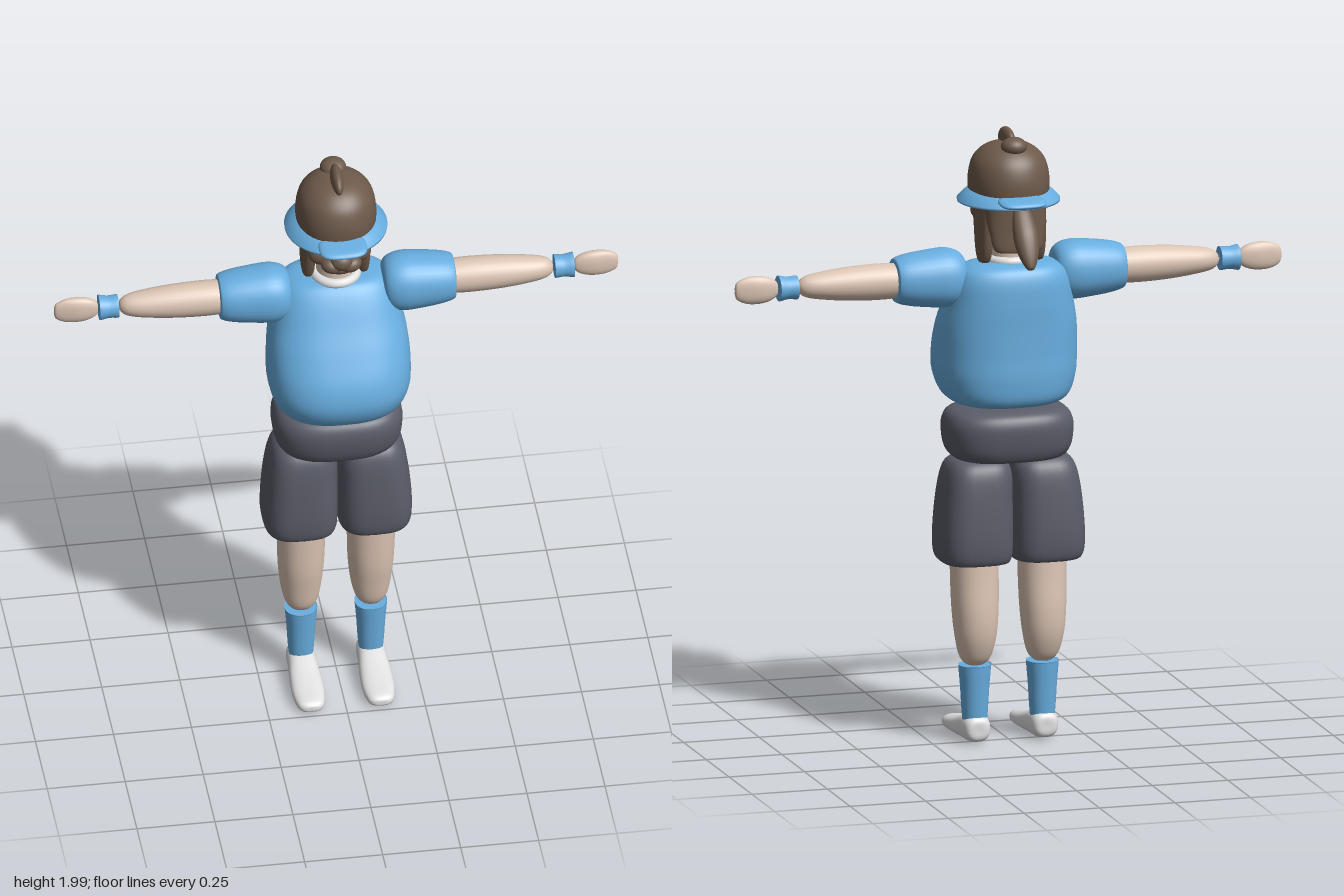
import * as THREE from 'three';

const mat = (name, color) => Object.assign(new THREE.MeshStandardMaterial({ color }), { name });

// Smooth closed loft along +y. Each section: [y, halfWidthX, halfDepthZ, centreX, centreZ]
// n is the superellipse exponent (2 = oval, higher = boxier).
function loft(sections, n = 2, seg = 32, steps = 5) {
  const curve = (k) => new THREE.SplineCurve(sections.map((s) => new THREE.Vector2(s[0], s[k] ?? 0)));
  const [cw, cd, cx, cz] = [1, 2, 3, 4].map(curve);
  const rows = (sections.length - 1) * steps;
  const pos = [], idx = [];
  const pw = (v) => Math.sign(v) * Math.abs(v) ** (2 / n);
  for (let i = 0; i <= rows; i++) {
    const u = i / rows, w = cw.getPoint(u), d = cd.getPoint(u).y;
    const x = cx.getPoint(u).y, z = cz.getPoint(u).y;
    for (let j = 0; j < seg; j++) {
      const a = (j / seg) * Math.PI * 2;
      pos.push(x + Math.max(w.y, 0) * pw(Math.cos(a)), w.x, z + Math.max(d, 0) * pw(Math.sin(a)));
    }
  }
  for (let i = 0; i < rows; i++) {
    for (let j = 0; j < seg; j++) {
      const k = (j + 1) % seg, a = i * seg + j, b = i * seg + k;
      idx.push(a, a + seg, b, b, a + seg, b + seg);
    }
  }
  const g = new THREE.BufferGeometry();
  g.setAttribute('position', new THREE.Float32BufferAttribute(pos, 3));
  g.setIndex(idx);
  g.computeVertexNormals();
  return g;
}

export function createModel() {
  const root = new THREE.Group();
  root.name = 'figure';
  const blue = mat('blue cloth', 0x68aee0);
  const skin = mat('skin', 0xdcc5b4);
  const brown = mat('brown hair', 0x6e5a4b);
  const grey = mat('grey shorts', 0x5b5d69);
  const white = mat('white', 0xe2e2e2);
  const thin = mat('blue brim', 0x68aee0);
  thin.side = THREE.DoubleSide;

  const add = (name, geo, material, parent = root) => {
    const m = new THREE.Mesh(geo, material);
    m.name = name;
    parent.add(m);
    return m;
  };
  const ball = (name, material, [x, y, z], [sx, sy, sz], rx = 0, rz = 0) => {
    const m = add(name, new THREE.SphereGeometry(1, 24, 16), material);
    m.position.set(x, y, z);
    m.scale.set(sx, sy, sz);
    m.rotation.set(rx, 0, rz);
    return m;
  };

  // Shirt body with a full belly
  add('shirt', loft([
    [1.105, 0.002, 0.002, 0, 0.03], [1.107, 0.13, 0.12, 0, 0.03], [1.13, 0.195, 0.175, 0, 0.04],
    [1.20, 0.224, 0.2, 0, 0.053], [1.28, 0.228, 0.195, 0, 0.05], [1.37, 0.222, 0.172, 0, 0.028],
    [1.45, 0.205, 0.148, 0, 0.004], [1.52, 0.188, 0.125, 0, -0.014], [1.56, 0.16, 0.1, 0, -0.02],
    [1.575, 0.1, 0.065, 0, -0.015], [1.576, 0.002, 0.002, 0, -0.015],
  ], 2.5, 48), blue);
  const collar = add('collar', new THREE.TorusGeometry(0.066, 0.016, 12, 32), white);
  collar.rotation.x = Math.PI / 2;
  collar.position.set(0, 1.578, -0.005);

  // Waist of the shorts
  add('waist', loft([
    [0.928, 0.002, 0.002, 0, 0.015], [0.93, 0.15, 0.115, 0, 0.015], [0.955, 0.194, 0.145, 0, 0.015],
    [1.01, 0.207, 0.159, 0, 0.016], [1.06, 0.203, 0.158, 0, 0.016], [1.09, 0.175, 0.135, 0, 0.016],
    [1.1, 0.1, 0.08, 0, 0.016], [1.1, 0.002, 0.002, 0, 0.016],
  ], 2.7, 40), grey);

  for (const s of [1, -1]) {
    const side = s > 0 ? 'left' : 'right';
    const leg = new THREE.Group();
    leg.name = side + 'Leg';
    leg.position.x = s * 0.112;
    root.add(leg);
    add('shortsLeg', loft([
      [0.6, 0.002, 0.002], [0.6, 0.085, 0.09], [0.612, 0.114, 0.12, s * 0.006], [0.68, 0.12, 0.13, s * 0.007],
      [0.8, 0.115, 0.126, s * 0.003], [0.89, 0.106, 0.115, s * -0.004], [0.93, 0.085, 0.09, s * -0.006],
      [0.94, 0.04, 0.05], [0.94, 0.002, 0.002],
    ], 3, 32), grey, leg);
    add('calf', loft([
      [0.26, 0.002, 0.002, 0, -0.002], [0.265, 0.03, 0.03, 0, -0.002], [0.295, 0.052, 0.052, 0, -0.004],
      [0.36, 0.066, 0.07, 0, -0.008], [0.44, 0.073, 0.08, 0, -0.004], [0.54, 0.076, 0.08, 0, 0.003],
      [0.64, 0.076, 0.08, 0, 0.008],
    ], 2.2), skin, leg);
    add('sock', loft([
      [0.07, 0.038, 0.038], [0.12, 0.042, 0.042], [0.19, 0.046, 0.047], [0.255, 0.051, 0.052],
      [0.259, 0.047, 0.048], [0.259, 0.002, 0.002],
    ], 2.2), blue, leg);
    // Shoe, lofted from heel to toe
    const shoe = add('shoe', loft([
      [-0.05, 0.002, 0.002, 0, -0.055], [-0.048, 0.03, 0.03, 0, -0.055], [-0.025, 0.044, 0.043, 0, -0.056],
      [0.03, 0.046, 0.042, 0, -0.053], [0.1, 0.051, 0.032, 0, -0.043], [0.17, 0.051, 0.025, 0, -0.035],
      [0.22, 0.042, 0.021, 0, -0.031], [0.238, 0.025, 0.012, 0, -0.03], [0.241, 0.002, 0.002, 0, -0.03],
    ], 2.5), white, leg);
    shoe.rotation.x = Math.PI / 2;

    // Arm pieces, lofted outward from the shoulder
    const arm = new THREE.Group();
    arm.name = side + 'Arm';
    arm.position.set(0, 1.526, 0.005);
    arm.rotation.z = -s * Math.PI / 2;
    root.add(arm);
    add('sleeve', loft([
      [0.145, 0.002, 0.002], [0.148, 0.055, 0.055], [0.168, 0.083, 0.08], [0.21, 0.095, 0.091],
      [0.27, 0.091, 0.089], [0.33, 0.083, 0.083], [0.368, 0.073, 0.074], [0.378, 0.06, 0.06], [0.378, 0.002, 0.002],
    ], 2.2), blue, arm);
    add('forearm', loft([
      [0.35, 0.055, 0.055], [0.43, 0.058, 0.056], [0.53, 0.054, 0.053], [0.62, 0.044, 0.045],
      [0.67, 0.034, 0.033], [0.692, 0.018, 0.017], [0.695, 0.002, 0.002],
    ]), skin, arm);
    add('wristband', loft([
      [0.699, 0.002, 0.002], [0.699, 0.034, 0.034], [0.703, 0.038, 0.037], [0.73, 0.036, 0.036],
      [0.757, 0.041, 0.039], [0.761, 0.036, 0.036], [0.761, 0.002, 0.002],
    ]), blue, arm);
    add('hand', loft([
      [0.763, 0.002, 0.002], [0.766, 0.022, 0.012], [0.79, 0.038, 0.019], [0.825, 0.045, 0.022],
      [0.865, 0.043, 0.018], [0.895, 0.03, 0.012], [0.903, 0.015, 0.006], [0.904, 0.002, 0.002],
    ], 2.3), skin, arm);

    // Side locks and moustache halves
    const lock = add(side + 'Lock', loft([
      [1.575, 0.002, 0.002, 0, -0.02], [1.577, 0.016, 0.03, 0, -0.02], [1.62, 0.022, 0.05, 0, -0.02],
      [1.7, 0.023, 0.065, 0, -0.015], [1.79, 0.022, 0.08, 0, 0],
    ], 2.6, 24), brown);
    lock.position.x = s * 0.088;
    ball(side + 'Moustache', brown, [s * 0.03, 1.695, 0.115], [0.036, 0.026, 0.032], 0, s * 0.25);
    ball(side + 'Whisker', brown, [s * 0.06, 1.72, 0.085], [0.04, 0.035, 0.03]);
  }

  // Neck and head
  add('neck', new THREE.CylinderGeometry(0.062, 0.062, 0.17, 24), skin).position.set(0, 1.64, -0.01);
  ball('head', skin, [0, 1.74, 0], [0.095, 0.105, 0.1]);
  ball('beard', brown, [0, 1.675, 0.085], [0.055, 0.026, 0.045]);
  ball('nose', brown, [0, 1.712, 0.125], [0.036, 0.03, 0.028]);
  ball('fringe', brown, [0, 1.765, 0.035], [0.105, 0.032, 0.085]);

  // Hair at the back of the head
  add('backHair', loft([
    [1.62, 0.03, 0.015, 0, -0.105], [1.625, 0.075, 0.025, 0, -0.105], [1.68, 0.09, 0.035, 0, -0.095],
    [1.74, 0.1, 0.06, 0, -0.07], [1.79, 0.11, 0.085, 0, -0.045],
  ], 2.5), brown);
  const tail = add('ponytail', loft([
    [0, 0.002, 0.002], [0.006, 0.014, 0.012], [0.05, 0.032, 0.025], [0.11, 0.04, 0.032],
    [0.17, 0.034, 0.024], [0.215, 0.022, 0.012], [0.22, 0.002, 0.002],
  ], 2.2, 24), brown);
  tail.position.set(0, 1.592, -0.25);
  tail.rotation.x = 0.55;

  // Domed crown
  add('crown', loft([
    [1.77, 0.118, 0.13], [1.80, 0.127, 0.139], [1.85, 0.127, 0.139], [1.9, 0.115, 0.124],
    [1.935, 0.085, 0.092], [1.953, 0.045, 0.05], [1.957, 0.002, 0.002],
  ], 2.1, 40), brown);
  // Small tuft and knot on top
  ball('topTuft', brown, [0, 1.962, 0.022], [0.02, 0.036, 0.065], 0.12);
  ball('topKnot', brown, [0, 1.952, -0.06], [0.042, 0.03, 0.04]);

  // Sloping brim with front and back tabs
  const brim = add('brim', new THREE.LatheGeometry([
    [0.155, 1.77], [0.163, 1.766], [0.164, 1.773], [0.145, 1.793], [0.125, 1.808], [0.115, 1.808],
  ].map(([x, y]) => new THREE.Vector2(x, y)), 48), thin);
  brim.scale.z = 1.03;
  const underside = add('brimUnderside', new THREE.RingGeometry(0.1, 0.158, 48), thin);
  underside.rotation.x = Math.PI / 2;
  underside.position.y = 1.772;
  for (const [s, name] of [[1, 'frontTab'], [-1, 'backTab']]) {
    const tab = add(name, loft([
      [-0.012, 0.002, 0.002], [-0.01, 0.06, 0.04], [0, 0.077, 0.053], [0.01, 0.06, 0.04], [0.012, 0.002, 0.002],
    ], 3, 32), blue);
    tab.position.set(0, 1.79, s * 0.153);
    tab.rotation.x = s * 0.12;
  }
  return root;
}
